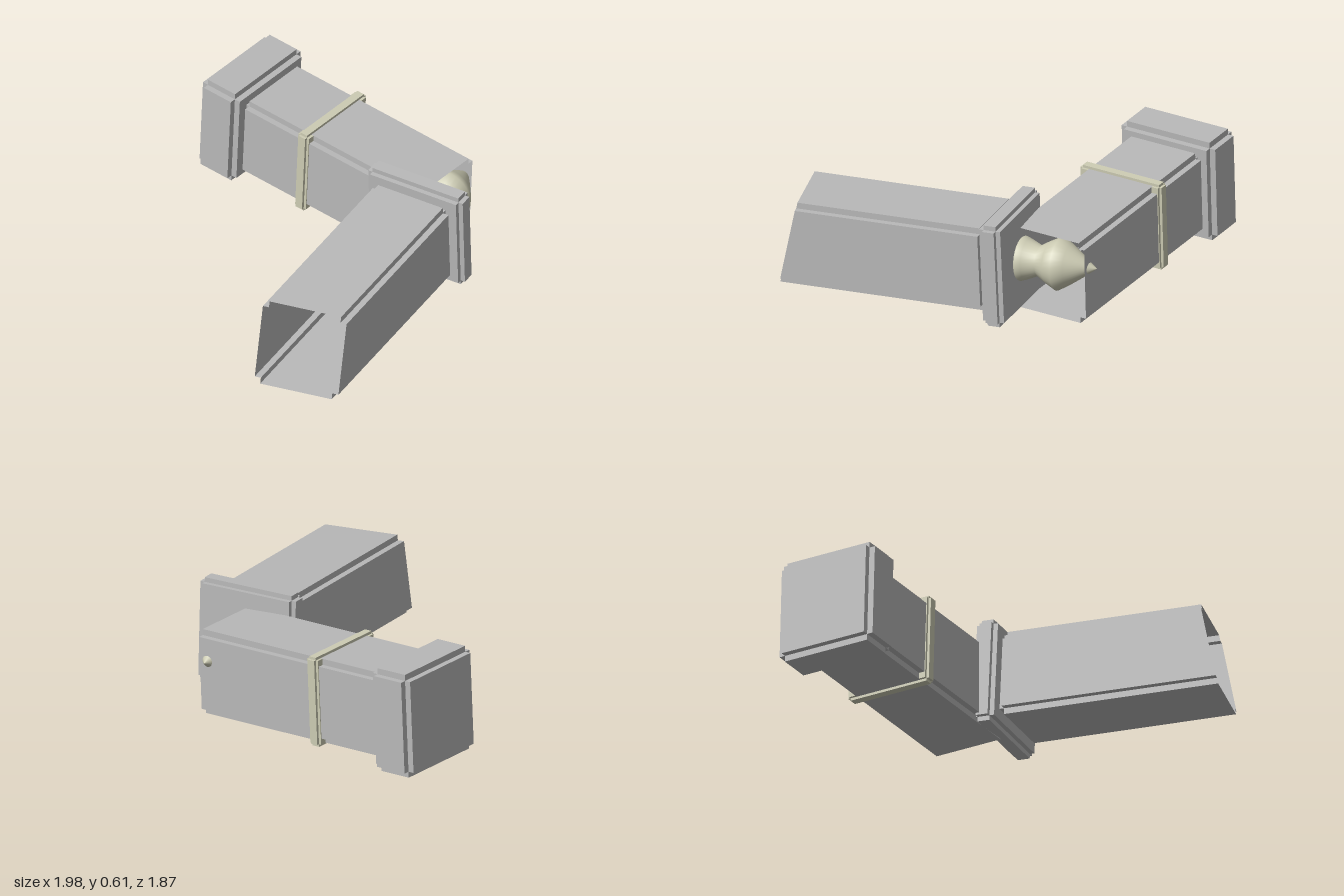
import * as THREE from 'three';
import { mergeGeometries } from 'three/addons/utils/BufferGeometryUtils.js';

const grey = new THREE.MeshStandardMaterial({ color: 0xb8b8b8, side: THREE.DoubleSide });
grey.name = 'grey';
const cream = new THREE.MeshStandardMaterial({ color: 0xcccbb3 });
cream.name = 'cream';

function add(parent, name, geometry, material) {
  const mesh = new THREE.Mesh(geometry, material);
  mesh.name = name;
  parent.add(mesh);
  return mesh;
}

// Box whose edges are all cut back by a square notch n
function notchedBox(w, h, d, n) {
  const m = 2 * n;
  return mergeGeometries([
    new THREE.BoxGeometry(w, h - m, d - m),
    new THREE.BoxGeometry(w - m, h, d - m),
    new THREE.BoxGeometry(w - m, h - m, d),
  ]);
}

// Square outline with notched corners
function notchedOutline(w, h, n) {
  const a = w / 2, b = h / 2, p = a - n, q = b - n;
  return [[p, -b], [p, -q], [a, -q], [a, q], [p, q], [p, b], [-p, b], [-p, q],
    [-a, q], [-a, -q], [-p, -q], [-p, -b]].map(([x, y]) => new THREE.Vector2(x, y));
}

// Thin open tube along z, from z = back to z = front(x, y), with a lid at the back
function addTube(parent, name, w, h, n, back, front) {
  const outline = notchedOutline(w, h, n);
  const positions = [];
  outline.forEach((p, i) => {
    const q = outline[(i + 1) % outline.length];
    const a = [p.x, p.y, back], b = [q.x, q.y, back];
    const c = [q.x, q.y, front(q.x, q.y)], d = [p.x, p.y, front(p.x, p.y)];
    positions.push(...a, ...b, ...c, ...a, ...c, ...d);
  });
  const walls = new THREE.BufferGeometry();
  walls.setAttribute('position', new THREE.Float32BufferAttribute(positions, 3));
  walls.computeVertexNormals();
  const tube = new THREE.Group();
  tube.name = name;
  add(tube, name + 'Walls', walls, grey);
  add(tube, name + 'End', new THREE.ShapeGeometry(new THREE.Shape(outline)), grey).position.z = back;
  add(tube, name + 'Lid', new THREE.BoxGeometry(w - 2 * n, h - 2 * n, 0.03), grey).position.z = back - 0.015;
  parent.add(tube);
  return tube;
}

export function createModel() {
  const model = new THREE.Group();
  model.name = 'jointedTubes';
  const deg = Math.PI / 180;

  // Side arm: slant-cut tube, flange and pointed knob, along x
  const sideArm = new THREE.Group();
  sideArm.name = 'sideArm';
  sideArm.position.set(0.3, 0.305, 0.58);
  sideArm.rotation.set(0, 5.1 * deg, 2.5 * deg, 'YZX');
  const tube = addTube(sideArm, 'sideTube', 0.48, 0.49, 0.035, 0.01,
    (x, y) => 1.19 - 0.25 * y - 0.18 * x);
  tube.rotation.y = -Math.PI / 2;
  add(sideArm, 'flange', notchedBox(0.125, 0.6, 0.6, 0.027), grey).position.x = 0.08;

  const profile = [[0, 0.12], [0.11, 0.12], [0.125, 0.15], [0.115, 0.18], [0.085, 0.25],
    [0.12, 0.31], [0.15, 0.37], [0.115, 0.43], [0.06, 0.51], [0, 0.59]]
    .map(([r, y]) => new THREE.Vector2(r, y));
  add(sideArm, 'knob', new THREE.LatheGeometry(profile, 32), cream).rotation.z = -Math.PI / 2;
  model.add(sideArm);

  // Rear arm: straight tube, solid band and end cap, along z
  const rearArm = new THREE.Group();
  rearArm.name = 'rearArm';
  rearArm.position.set(0.638, 0.275, -0.035);
  rearArm.rotation.set(2.6 * deg, -3.4 * deg, 0, 'YXZ');
  addTube(rearArm, 'rearTube', 0.48, 0.49, 0.035, -0.605, () => 0.605);
  add(rearArm, 'band', notchedBox(0.52, 0.52, 0.075, 0.015), cream).position.z = -0.19;
  add(rearArm, 'endCap', notchedBox(0.6, 0.6, 0.26, 0.035), grey).position.z = -0.755;
  model.add(rearArm);

  return model;
}
